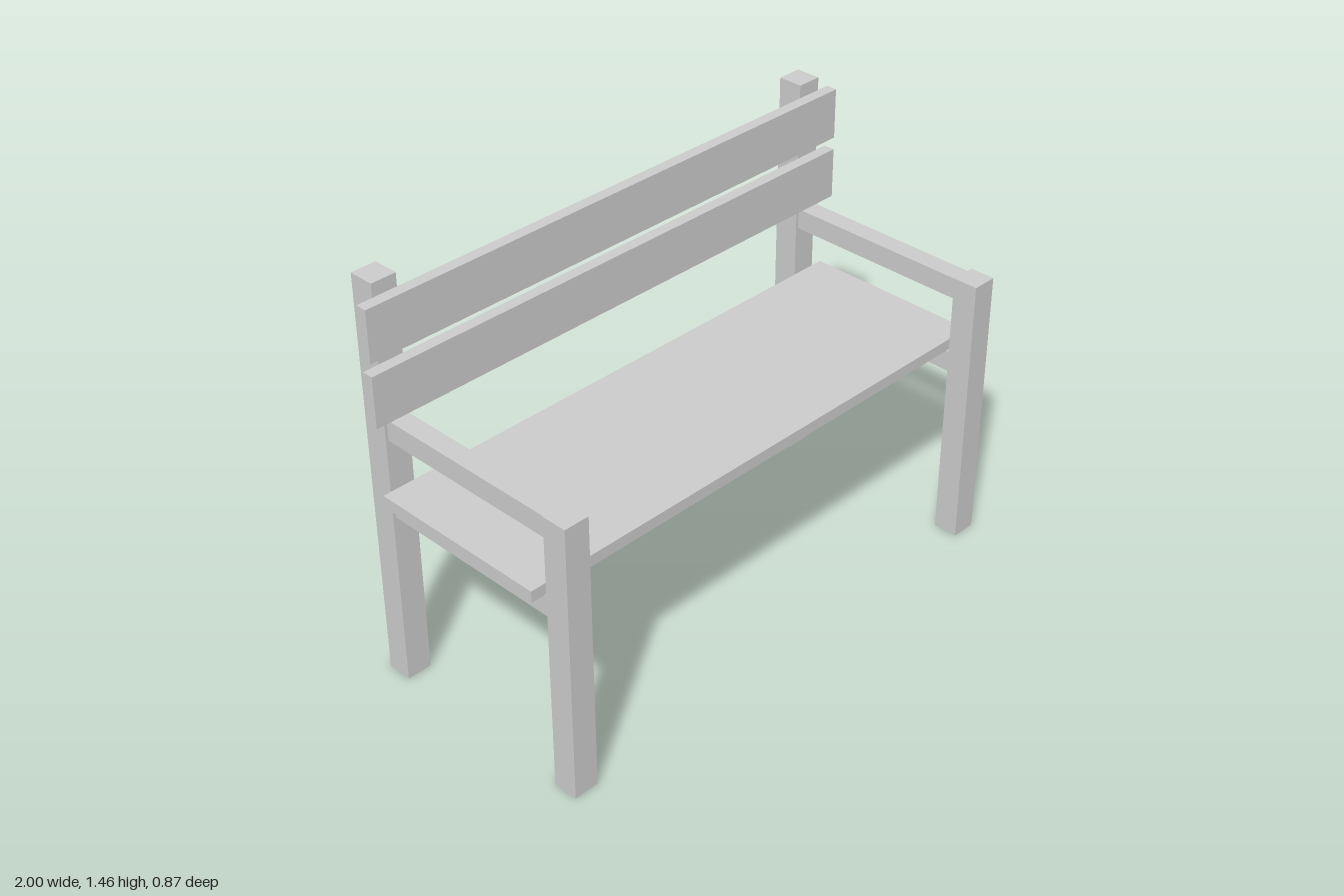
import * as THREE from 'three';

const material = new THREE.MeshStandardMaterial({ color: 0xcccccc, flatShading: true });

// Box given by its extents along each axis
function beam(name, [x0, x1], [y0, y1], [z0, z1]) {
  const mesh = new THREE.Mesh(new THREE.BoxGeometry(x1 - x0, y1 - y0, z1 - z0), material);
  mesh.position.set((x0 + x1) / 2, (y0 + y1) / 2, (z0 + z1) / 2);
  mesh.name = name;
  return mesh;
}

const around = (centre, width) => [centre - width / 2, centre + width / 2];

export function createModel() {
  const bench = new THREE.Group();
  bench.name = 'bench';

  // Side frames: two posts joined by an armrest and a seat rail
  for (const [side, x] of [['right', -0.898], ['left', 0.909]]) {
    const frame = new THREE.Group();
    frame.name = `${side}Frame`;
    const post = around(x, 0.09);
    const rail = around(x, 0.07);
    const span = [-0.341, 0.346];
    frame.add(
      beam('frontLeg', post, [0, 0.997], [0.346, 0.435]),
      beam('backLeg', post, [0, 1.455], [-0.431, -0.341]),
      beam('armrest', rail, [0.915, 0.989], span),
      beam('seatRail', rail, [0.634, 0.708], span),
    );
    bench.add(frame);
  }

  // Seat board resting on the rails
  bench.add(beam('seat', [-0.983, 0.979], [0.708, 0.748], [-0.325, 0.328]));

  // Backrest boards on the front of the back legs
  for (const [name, y] of [['lowerBackBoard', 1.007], ['upperBackBoard', 1.23]]) {
    bench.add(beam(name, [-1, 1], [y, y + 0.179], [-0.341, -0.301]));
  }

  return bench;
}
